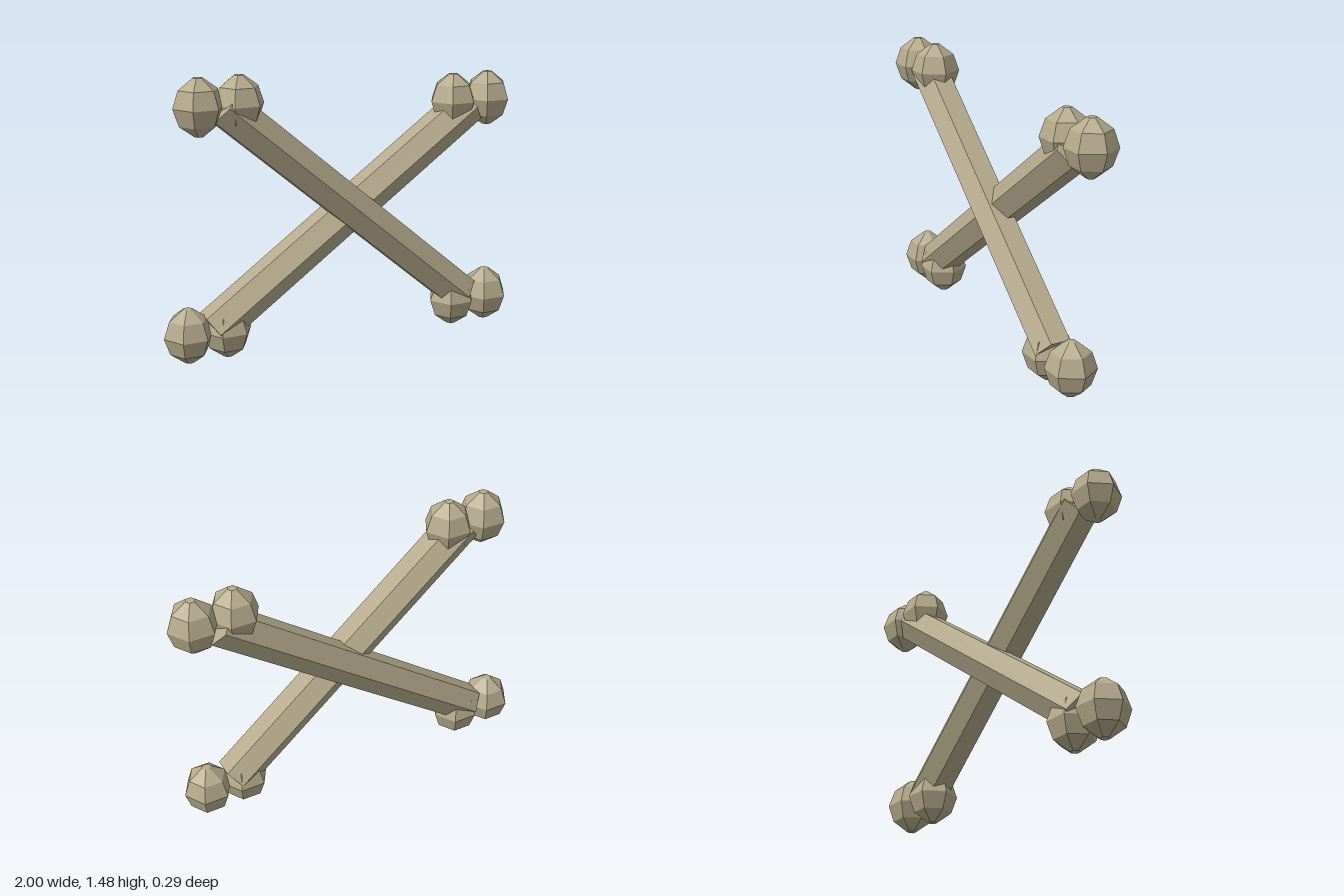
import * as THREE from 'three';

const material = new THREE.MeshStandardMaterial({ color: 0xb5aa8c, flatShading: true });

// Six-sided rounded knob, with corners pointing along x
function makeKnobGeometry() {
  const profile = [
    [0, -0.146], [0.025, -0.144], [0.1, -0.088], [0.13, 0], [0.1, 0.088], [0.025, 0.144], [0, 0.146],
  ].map(([r, y]) => new THREE.Vector2(r, y));
  return new THREE.LatheGeometry(profile, 6).rotateY(Math.PI / 6);
}

// One bone: a hexagonal shaft between two ends, each with a pair of knobs
function makeBone(name, z, shaftEnds, knobCentres, knobGeometry) {
  const bone = new THREE.Group();
  bone.name = name;
  bone.position.z = z;

  const [a, b] = shaftEnds.map(([x, y]) => new THREE.Vector3(x, y, 0));
  const along = b.clone().sub(a);
  const shaft = new THREE.Mesh(new THREE.CylinderGeometry(0.108, 0.108, along.length(), 6), material);
  shaft.name = 'shaft';
  shaft.position.copy(a).add(b).multiplyScalar(0.5);
  shaft.rotation.z = Math.atan2(along.y, along.x) - Math.PI / 2; // keeps a ridge facing front and back
  bone.add(shaft);

  for (const [x, y] of knobCentres) {
    const knob = new THREE.Mesh(knobGeometry, material);
    knob.name = 'knob';
    knob.position.set(x, y, 0);
    bone.add(knob);
  }
  return bone;
}

export function createModel() {
  const model = new THREE.Group();
  model.name = 'crossedBones';
  const knob = makeKnobGeometry();

  model.add(makeBone('frontBone', 0.034,
    [[0.685, 0.175], [-0.68, 1.334]],
    [[-0.802, 1.334], [-0.592, 1.334], [0.63, 0.149], [0.84, 0.149]], knob));

  model.add(makeBone('backBone', -0.034,
    [[-0.735, 0.165], [0.745, 1.218]],
    [[-0.87, 0.149], [-0.66, 0.149], [0.652, 1.245], [0.865, 1.245]], knob));

  return model;
}
